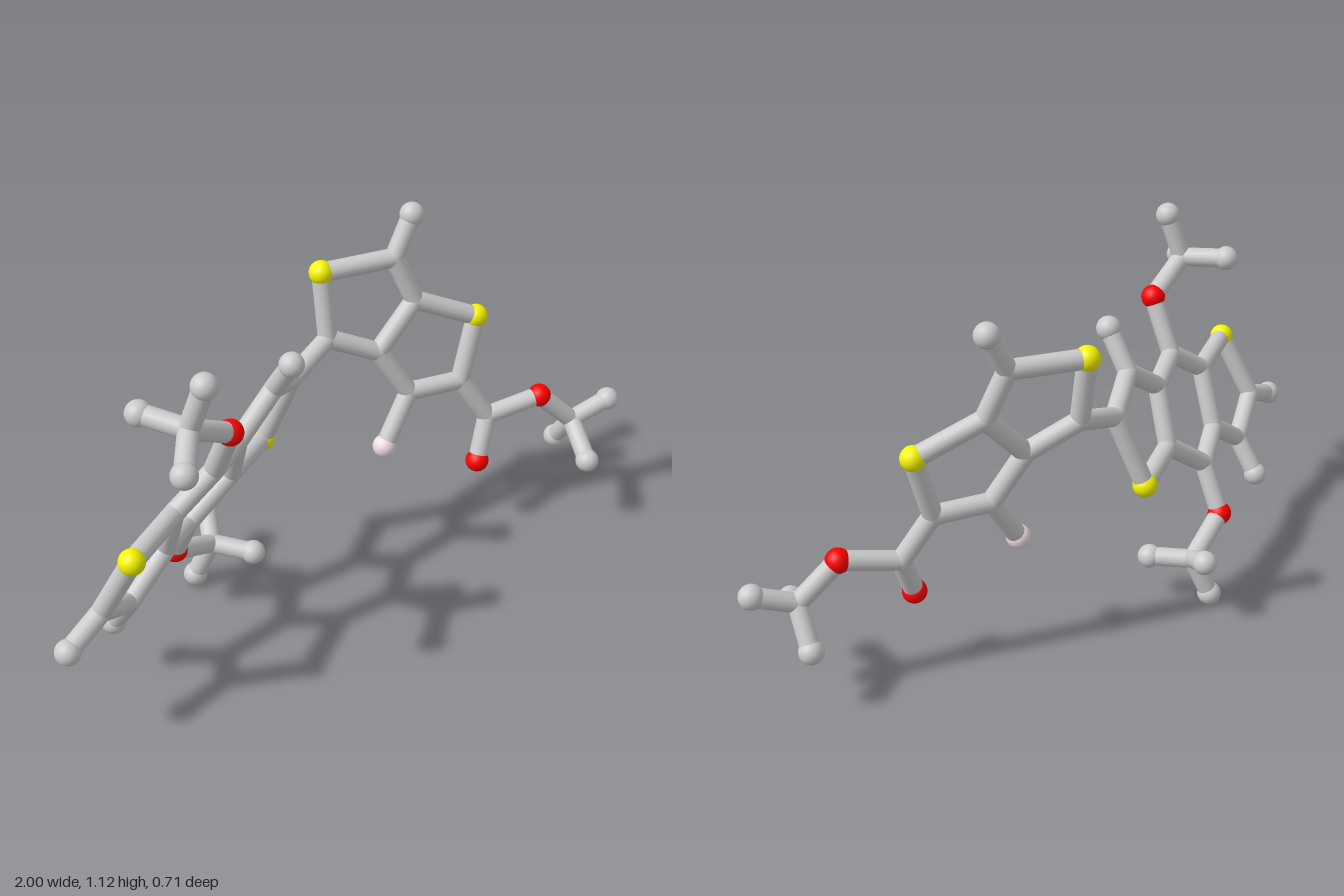
import * as THREE from 'three';

const BALL = 0.036, STICK = 0.0285;

// Atoms: [kind, x, y, z]; C = plain joint, E = grey end ball, S / O / F = coloured balls
const atoms = {
  // left outer five-sided ring
  s1: ['S', -0.79, 0.615, 0.16], a1: ['C', -0.845, 0.42, 0.075], a2: ['C', -0.715, 0.33, 0.005],
  e1: ['E', -0.97, 0.37, 0.10], e2: ['E', -0.73, 0.22, -0.065],
  // six-sided core
  b1: ['C', -0.585, 0.605, 0.058], b2: ['C', -0.572, 0.43, -0.015], b3: ['C', -0.435, 0.39, -0.105],
  b4: ['C', -0.285, 0.50, -0.093], b5: ['C', -0.31, 0.665, -0.02], b6: ['C', -0.46, 0.69, 0.07],
  // inner five-sided ring
  s2: ['S', -0.095, 0.483, -0.187], c1: ['C', -0.035, 0.70, -0.122], c2: ['C', -0.165, 0.765, -0.04],
  e3: ['E', -0.16, 0.88, 0.035],
  // upper side chain
  o1: ['O', -0.455, 0.855, 0.147], m1: ['C', -0.595, 0.94, 0.165],
  e4: ['E', -0.565, 1.073, 0.20], e5: ['E', -0.66, 0.953, 0.043], e6: ['E', -0.683, 0.896, 0.263],
  // lower side chain
  o2: ['O', -0.435, 0.244, -0.178], m2: ['C', -0.28, 0.163, -0.215],
  e7: ['E', -0.32, 0.04, -0.252], e8: ['E', -0.22, 0.224, -0.318], e9: ['E', -0.205, 0.156, -0.107],
  // right fused pair of rings
  d1: ['C', 0.125, 0.757, -0.15], s3: ['S', 0.132, 0.958, -0.187], d2: ['C', 0.34, 0.965, -0.107],
  d3: ['C', 0.39, 0.823, -0.067], d4: ['C', 0.265, 0.685, -0.085], d5: ['C', 0.345, 0.537, -0.03],
  d6: ['C', 0.505, 0.537, 0.025], s4: ['S', 0.565, 0.738, 0.018],
  e10: ['E', 0.405, 1.083, -0.107], f1: ['F', 0.246, 0.382, -0.026],
  // right tail
  g1: ['C', 0.58, 0.40, 0.078], o3: ['O', 0.526, 0.264, 0.10], o4: ['O', 0.74, 0.438, 0.145],
  m3: ['C', 0.847, 0.325, 0.195],
  e11: ['E', 0.96, 0.376, 0.238], e12: ['E', 0.865, 0.212, 0.12], e13: ['E', 0.795, 0.256, 0.317],
};

// Each chain joins its atoms one after another
const chains = [
  's1 a1 a2 b2 b1 s1', 'a1 e1', 'a2 e2',
  'b2 b3 b4 b5 b6 b1', 'b4 s2 c1 c2 b5', 'c2 e3',
  'b6 o1 m1 e4', 'e5 m1 e6', 'b3 o2 m2 e7', 'e8 m2 e9',
  'c1 d1 s3 d2 d3 d4 d1', 'd2 e10', 'd4 d5 d6 s4 d3', 'd5 f1',
  'd6 g1 o4 m3 e11', 'g1 o3', 'e12 m3 e13',
];

export function createModel() {
  const model = new THREE.Group();
  model.name = 'molecule';
  const mat = (color) => new THREE.MeshStandardMaterial({ color });
  const grey = mat(0xcccccc);
  const kinds = {
    C: ['carbonJoint', grey, STICK],
    E: ['endBall', grey, BALL],
    S: ['sulfurBall', mat(0xf5f500), BALL],
    O: ['oxygenBall', mat(0xff0000), BALL],
    F: ['fluorineBall', mat(0xf0dce2), BALL],
  };
  const ball = new THREE.SphereGeometry(1, 24, 16);
  const stick = new THREE.CylinderGeometry(STICK, STICK, 1, 20);
  const up = new THREE.Vector3(0, 1, 0);
  const at = (id) => new THREE.Vector3(...atoms[id].slice(1));

  // Balls and joints
  for (const id of Object.keys(atoms)) {
    const [name, material, radius] = kinds[atoms[id][0]];
    const mesh = new THREE.Mesh(ball, material);
    mesh.name = name;
    mesh.position.copy(at(id));
    mesh.scale.setScalar(radius);
    model.add(mesh);
  }

  // Bonds
  for (const chain of chains) {
    const ids = chain.split(' ');
    for (let i = 1; i < ids.length; i++) {
      const p = at(ids[i - 1]), q = at(ids[i]);
      const dir = q.clone().sub(p);
      const mesh = new THREE.Mesh(stick, grey);
      mesh.name = 'bond';
      mesh.scale.y = dir.length();
      mesh.position.copy(p).add(q).multiplyScalar(0.5);
      mesh.quaternion.setFromUnitVectors(up, dir.normalize());
      model.add(mesh);
    }
  }
  return model;
}
